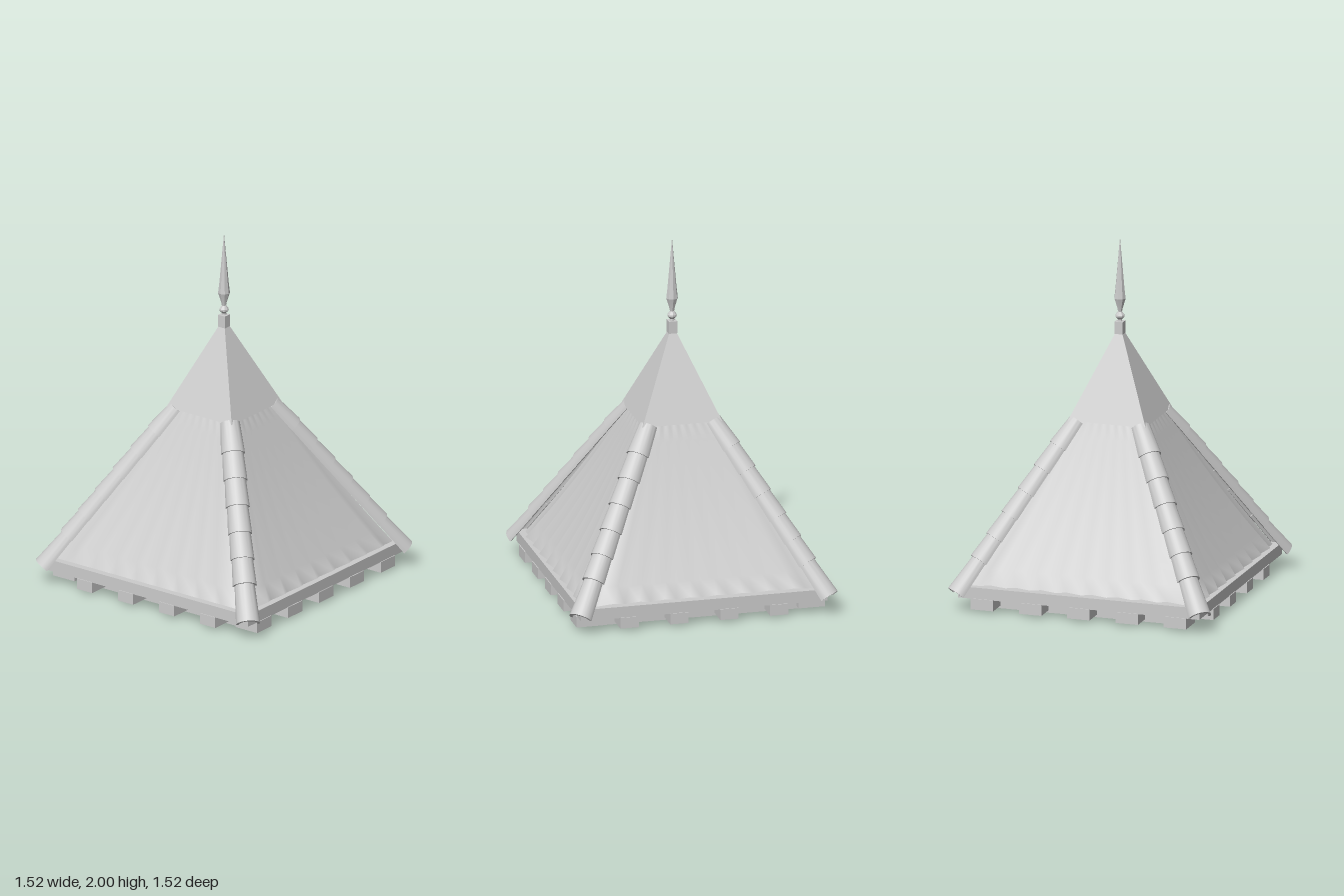
import * as THREE from 'three';
import { toCreasedNormals } from 'three/addons/utils/BufferGeometryUtils.js';

const stone = new THREE.MeshStandardMaterial({ color: 0xcccccc, side: THREE.DoubleSide });
stone.name = 'paleGrey';

function add(parent, name, geometry) {
  const mesh = new THREE.Mesh(geometry, stone);
  mesh.name = name;
  parent.add(mesh);
  return mesh;
}

// Flat square ring lying between two heights
function squareRing(outer, inner, y0, y1) {
  const square = (Type, h) => new Type([[-h, -h], [h, -h], [h, h], [-h, h]].map(p => new THREE.Vector2(...p)));
  const shape = square(THREE.Shape, outer);
  shape.holes.push(square(THREE.Path, inner));
  return new THREE.ExtrudeGeometry(shape, { depth: y1 - y0, bevelEnabled: false })
    .rotateX(-Math.PI / 2).translate(0, y0, 0);
}

// Four-sided tapered solid aligned with the axes
function pyramid(halfTop, halfBottom, y0, y1, open = false) {
  const geo = new THREE.CylinderGeometry(halfTop * Math.SQRT2, halfBottom * Math.SQRT2, y1 - y0, 4, 1, open)
    .rotateY(Math.PI / 4).translate(0, (y0 + y1) / 2, 0);
  return toCreasedNormals(geo, 0.3);
}

// One corrugated roof slope; ripples are deepest at the eave
function roofSlope() {
  const cols = 18, rows = 10, pos = [], index = [];
  for (let r = 0; r <= rows; r++) {
    const t = r / rows;
    const half = 0.66 - 0.46 * t - 0.012 * Math.sin(Math.PI * t);
    const depth = 0.008 + 0.034 * (1 - t) ** 2;
    for (let c = 0; c <= cols; c++) {
      const crest = c % 2 === 0 && c > 0 && c < cols ? depth : 0;
      pos.push(half * (2 * c / cols - 1), 0.14 + 0.86 * t + crest * 0.47, half + crest * 0.88);
      if (r < rows && c < cols) {
        const a = r * (cols + 1) + c, b = a + 1, d = a + cols + 1;
        index.push(a, b, d, b, d + 1, d);
      }
    }
  }
  const geo = new THREE.BufferGeometry();
  geo.setAttribute('position', new THREE.Float32BufferAttribute(pos, 3));
  geo.setIndex(index);
  geo.computeVertexNormals();
  return geo;
}

// Tapered half-round tile, wide end at z = 0, narrow end up the hip at -z
function hipTile(length) {
  const shape = new THREE.Shape();
  shape.absarc(0, 0, 0.067, 0, Math.PI, false);
  shape.absarc(0, 0, 0.053, Math.PI, 0, true);
  const geo = new THREE.ExtrudeGeometry(shape, { depth: length, bevelEnabled: false, curveSegments: 8 })
    .translate(0, 0, -length);
  const p = geo.attributes.position;
  for (let i = 0; i < p.count; i++) {
    const s = 1 + 0.2 * p.getZ(i) / length;
    p.setXY(i, p.getX(i) * s, p.getY(i) * s);
  }
  return toCreasedNormals(geo, 0.6);
}

export function createModel() {
  const model = new THREE.Group();
  model.name = 'spireRoof';

  // Eave slab, lower rail and inner ceiling
  add(model, 'eaveSlab', squareRing(0.7, 0.54, 0.075, 0.14));
  add(model, 'lowerRail', squareRing(0.58, 0.52, 0, 0.08));
  add(model, 'innerCeiling', pyramid(0.01, 0.57, 0.13, 1.2, true));

  // Blocks under the eaves
  const blocks = new THREE.Group();
  blocks.name = 'eaveBlocks';
  model.add(blocks);
  for (const side of [-1, 1]) {
    for (const x of [-0.425, -0.142, 0.142, 0.425])
      add(blocks, 'eaveBlock', new THREE.BoxGeometry(0.104, 0.062, 0.15)).position.set(x, 0.046, side * 0.63);
    for (const z of [-0.56, -0.28, 0, 0.28, 0.56])
      add(blocks, 'eaveBlock', new THREE.BoxGeometry(0.15, 0.062, 0.13)).position.set(side * 0.63, 0.046, z);
  }

  // Roof slopes and hip tiles, one set per quarter turn
  const slope = roofSlope();
  const top = new THREE.Vector3(0.185, 0.98, 0.185), foot = new THREE.Vector3(0.7, 0.09, 0.7);
  const down = foot.clone().sub(top).normalize();
  const across = new THREE.Vector3(1, 0, -1).normalize();
  const normal = down.clone().cross(across);
  const basis = new THREE.Matrix4().makeBasis(across, normal, down);
  const tile = hipTile(0.27), shortTile = hipTile(0.18);
  for (let q = 0; q < 4; q++) {
    const quarter = new THREE.Group();
    quarter.name = 'roofQuarter';
    quarter.rotation.y = q * Math.PI / 2;
    model.add(quarter);
    add(quarter, 'roofSlope', slope);
    [0.09, 0.26, 0.375, 0.49, 0.61, 0.73, 0.85].forEach((y, i) => {
      const mesh = add(quarter, 'hipTile', i === 6 ? shortTile : tile);
      mesh.quaternion.setFromRotationMatrix(basis);
      mesh.position.lerpVectors(foot, top, (y - foot.y) / (top.y - foot.y));
    });
  }

  // Smooth cap over the tiles
  add(model, 'spireCap', pyramid(0.02, 0.226, 1.0, 1.465, true));

  // Finial
  add(model, 'finialBlock', new THREE.BoxGeometry(0.048, 0.07, 0.048)).position.y = 1.495;
  const profile = [[0.014, 1.525], [0.012, 1.54], [0.026, 1.555], [0.026, 1.565], [0.012, 1.585],
    [0.016, 1.605], [0.033, 1.66], [0.026, 1.72], [0.001, 2]].map(p => new THREE.Vector2(...p));
  add(model, 'finialSpike', toCreasedNormals(new THREE.LatheGeometry(profile, 8), 0.2));

  return model;
}
